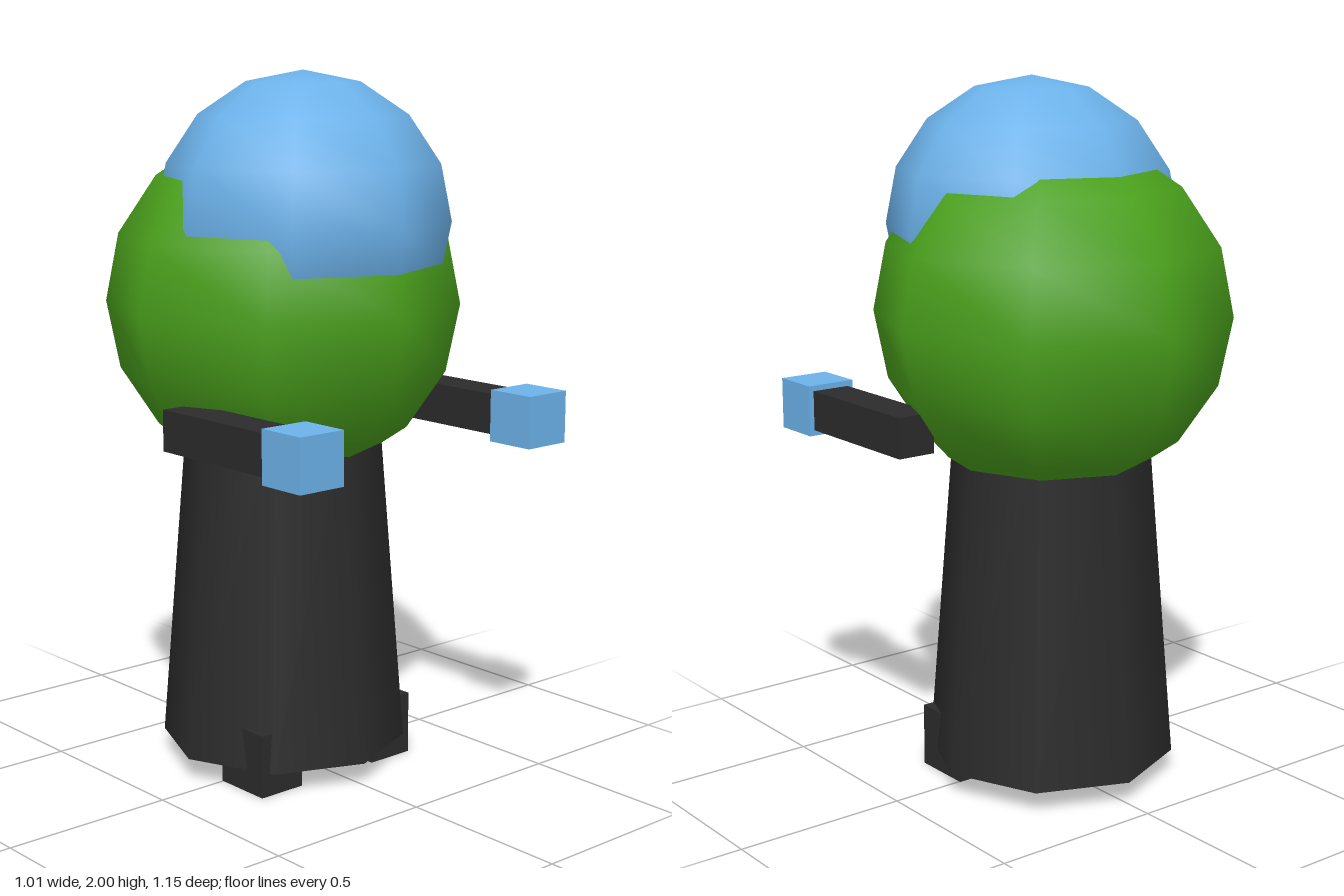
import * as THREE from 'three';

const green = new THREE.MeshStandardMaterial({ color: 0x4aa01c });
const blue = new THREE.MeshStandardMaterial({ color: 0x6cb2ea });
const dark = new THREE.MeshStandardMaterial({ color: 0x2b2b2b });

export function createModel() {
  const model = new THREE.Group();
  model.name = 'figure';

  const add = (name, geometry, material, x, y, z) => {
    const mesh = new THREE.Mesh(geometry, material);
    mesh.name = name;
    mesh.position.set(x, y, z);
    model.add(mesh);
  };

  // Tapered eight-sided body, its top tucked into the head
  const bottom = 0.065, top = 1.065;
  add('body', new THREE.CylinderGeometry(0.275, 0.355, top - bottom, 8), dark,
    0, (bottom + top) / 2, -0.066);

  // Low-poly head with a smaller ball as its cap
  add('head', new THREE.SphereGeometry(0.505, 8, 8), green, 0, 1.348, -0.069);
  add('cap', new THREE.SphereGeometry(0.414, 8, 8), blue, 0, 1.586, 0.021);

  // Mirrored arms, hands and feet
  for (const [side, s] of [['left', 1], ['right', -1]]) {
    add(side + 'Arm', new THREE.BoxGeometry(0.115, 0.115, 0.435), dark, s * 0.418, 1.048, 0.212);
    add(side + 'Hand', new THREE.BoxGeometry(0.147, 0.147, 0.147), blue, s * 0.417, 1.048, 0.5);
    add(side + 'Foot', new THREE.BoxGeometry(0.147, 0.182, 0.178), dark, s * 0.209, 0.091, 0.085);
  }
  return model;
}
